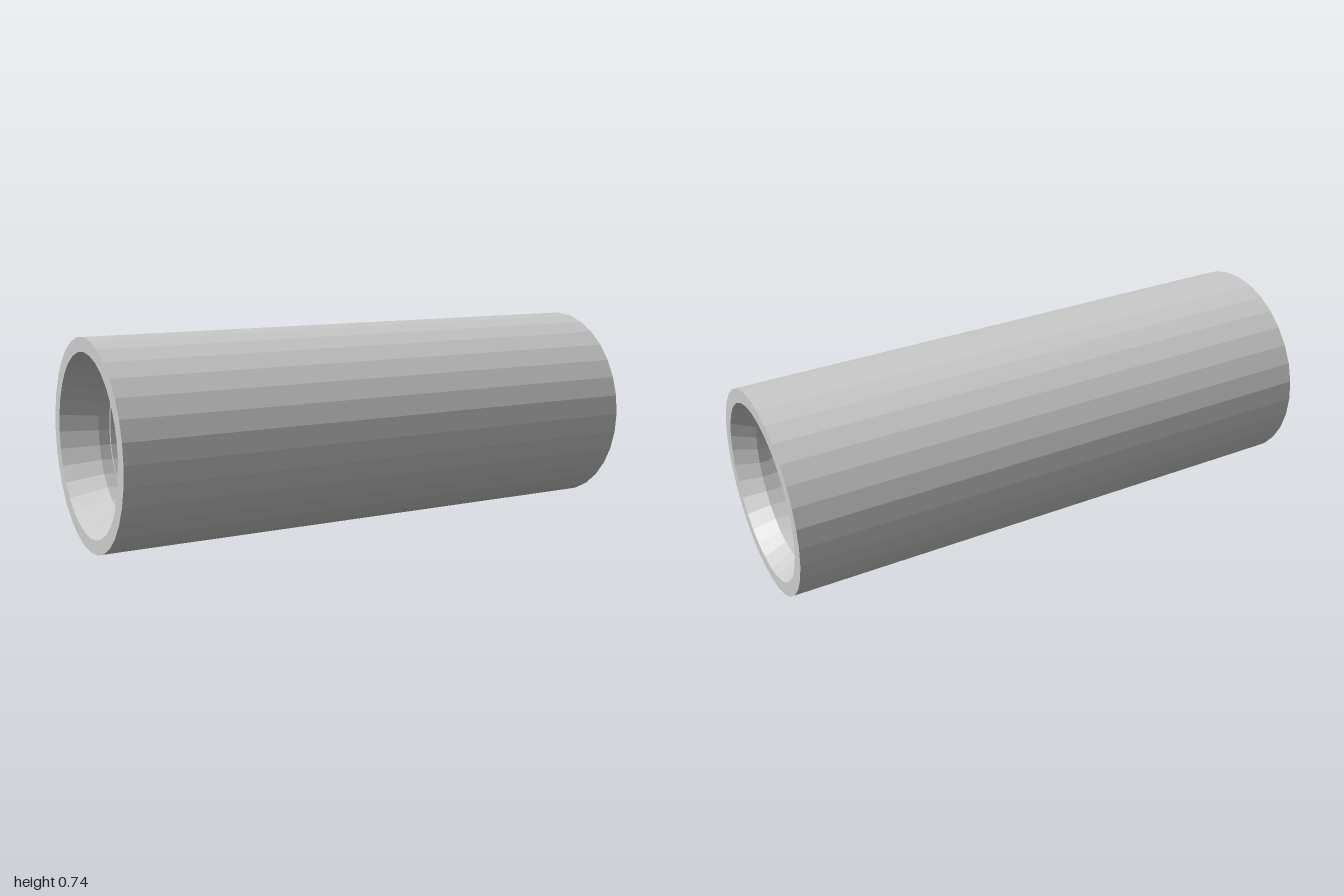
import * as THREE from 'three';

const SIDES = 32;
const RADIUS = 0.368;

export function createModel() {
  const model = new THREE.Group();
  model.name = 'hollowTube';
  const material = new THREE.MeshStandardMaterial({ color: 0xcccccc, flatShading: true });

  // Closed wall section as [radius, position along x]: outside, right socket, bore, left socket
  const section = [
    [RADIUS, -1], [RADIUS, 1],
    [0.318, 1], [0.275, 0.92], [0.275, 0.88], [0.29, 0.88], [0.29, 0.84],
    [0.265, 0.84], [0.265, 0.79], [0.29, 0.79],
    [0.29, -0.79], [0.265, -0.79], [0.265, -0.83], [0.275, -0.83],
    [0.275, -0.87], [0.318, -1], [RADIUS, -1],
  ].map(([r, x]) => new THREE.Vector2(r, x));
  const wall = new THREE.LatheGeometry(section, SIDES);
  wall.rotateZ(-Math.PI / 2);
  const tube = new THREE.Mesh(wall, material);
  tube.name = 'tubeWall';
  tube.position.y = RADIUS;
  model.add(tube);

  // Small bundles of lengthwise ribs on both sides of the bore
  for (const side of [-1, 1]) {
    const bundle = new THREE.Group();
    bundle.name = side > 0 ? 'frontRibs' : 'backRibs';
    const count = side > 0 ? 3 : 4;
    for (let i = 0; i < count; i++) {
      const angle = i * 0.06;
      const rib = new THREE.Mesh(new THREE.BoxGeometry(1.58, 0.01, 0.03), material);
      rib.name = 'boreRib';
      rib.position.set(0, RADIUS + 0.277 * Math.sin(angle), side * 0.277 * Math.cos(angle));
      rib.rotation.x = -side * angle;
      bundle.add(rib);
    }
    model.add(bundle);
  }
  return model;
}
